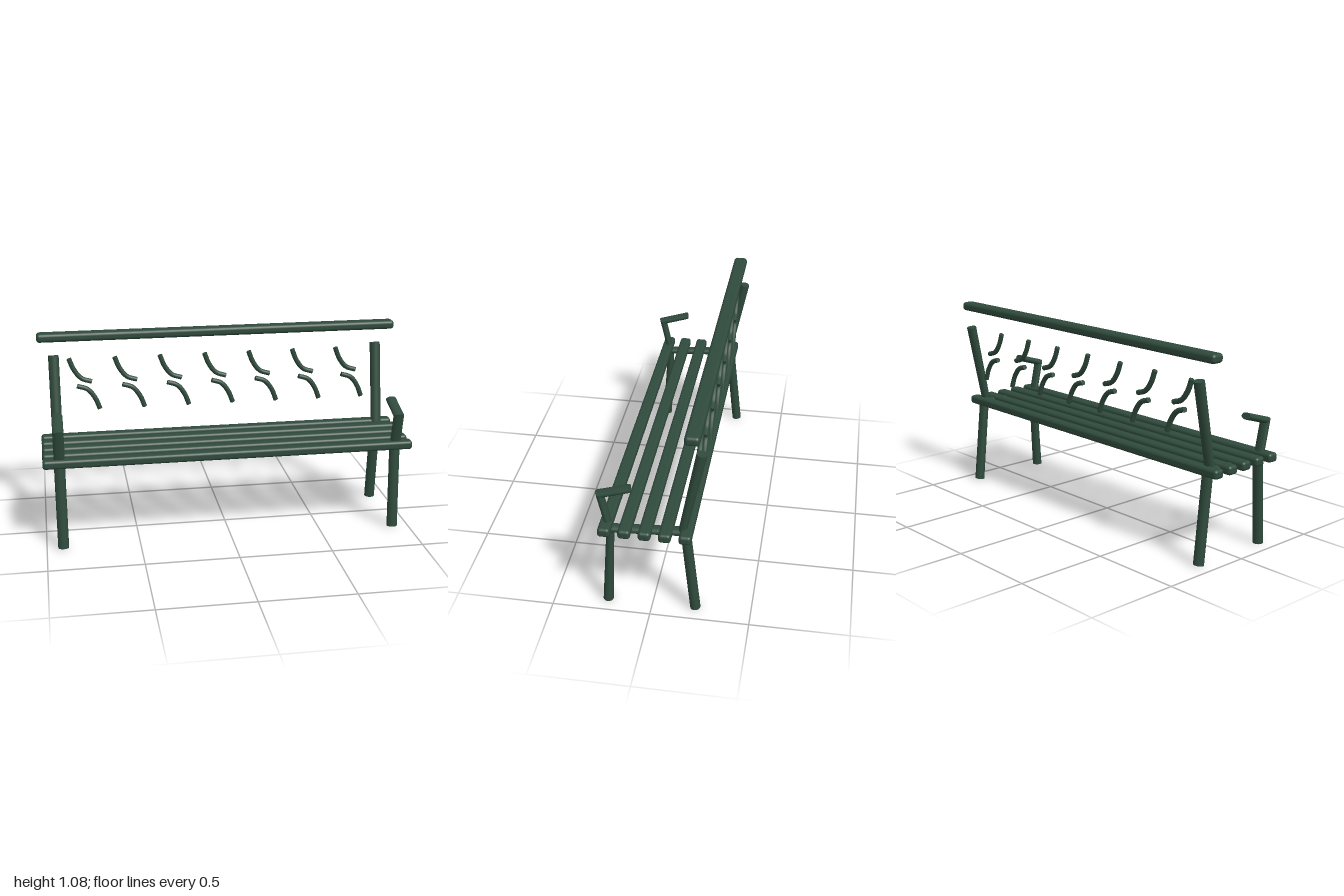
import * as THREE from 'three';
import { mergeGeometries } from 'three/addons/utils/BufferGeometryUtils.js';
import { RoundedBoxGeometry } from 'three/addons/geometries/RoundedBoxGeometry.js';

const paint = new THREE.MeshStandardMaterial({ color: 0x2f4a3c });
const SIDES = 24;
const HALF_WIDTH = 0.029; // half width of the frame bars along x

function addMesh(parent, name, geometry, x = 0, y = 0, z = 0) {
  const mesh = new THREE.Mesh(geometry, paint);
  mesh.name = name;
  mesh.position.set(x, y, z);
  parent.add(mesh);
  return mesh;
}

// Oval bar along a bent path of [z, y, radius], with mitred corners and flat ends
function bentBar(path) {
  const points = path.map(([z, y]) => new THREE.Vector2(z, y));
  const normals = points.slice(1).map((p, i) => {
    const t = p.clone().sub(points[i]).normalize();
    return new THREE.Vector2(-t.y, t.x);
  });
  const rings = points.map((p, i) => {
    const a = normals[Math.max(i - 1, 0)];
    const b = normals[Math.min(i, normals.length - 1)];
    const miter = a.clone().add(b).normalize();
    miter.multiplyScalar(path[i][2] / miter.dot(a));
    return Array.from({ length: SIDES }, (_, k) => {
      const angle = (k / SIDES) * Math.PI * 2;
      const s = Math.sin(angle);
      return [HALF_WIDTH * Math.cos(angle), p.y + miter.y * s, p.x + miter.x * s];
    });
  });

  const build = (vertices, index) => {
    const g = new THREE.BufferGeometry();
    g.setAttribute('position', new THREE.Float32BufferAttribute(vertices.flat(), 3));
    g.setIndex(index);
    g.computeVertexNormals();
    return g;
  };
  const pieces = [];
  for (let j = 0; j < rings.length - 1; j++) {
    const index = [];
    for (let k = 0; k < SIDES; k++) {
      const n = (k + 1) % SIDES;
      index.push(k, n, SIDES + n, k, SIDES + n, SIDES + k);
    }
    pieces.push(build([...rings[j], ...rings[j + 1]], index));
  }
  // End caps
  const start = [], end = [];
  for (let k = 1; k < SIDES - 1; k++) {
    start.push(0, k + 1, k);
    end.push(0, k, k + 1);
  }
  pieces.push(build(rings[0], start), build(rings[rings.length - 1], end));
  return mergeGeometries(pieces);
}

// Round rod along a curve, closed with a disc at each end
function cappedRod(curve, radius) {
  const pieces = [new THREE.TubeGeometry(curve, 16, radius, 12)];
  for (const [u, sign] of [[0, -1], [1, 1]]) {
    const direction = curve.getTangentAt(u).multiplyScalar(sign);
    const cap = new THREE.CircleGeometry(radius, 12);
    cap.applyQuaternion(new THREE.Quaternion().setFromUnitVectors(new THREE.Vector3(0, 0, 1), direction));
    const p = curve.getPointAt(u);
    pieces.push(cap.translate(p.x, p.y, p.z));
  }
  return mergeGeometries(pieces);
}

export function createModel() {
  const bench = new THREE.Group();
  bench.name = 'bench';

  // Seat slats and top rail
  const slat = new RoundedBoxGeometry(2, 0.048, 0.062, 4, 0.016);
  for (let i = 0; i < 5; i++) addMesh(bench, 'seatSlat', slat, 0, 0.481, 0.224 - i * 0.1);
  addMesh(bench, 'topRail', new RoundedBoxGeometry(2, 0.048, 0.074, 4, 0.018), 0, 1.053, -0.207);

  // Side frames
  const bars = {
    frontLegSeatBearerAndBackPost: bentBar([
      [0.229, 0.002, 0.026], [0.205, 0.455, 0.019], [-0.152, 0.477, 0.02], [-0.244, 0.939, 0.026],
    ]),
    armrest: bentBar([[0.208, 0.46, 0.018], [0.252, 0.657, 0.018], [0.103, 0.704, 0.018]]),
    backLeg: bentBar([[-0.169, 0.47, 0.025], [-0.219, 0.003, 0.026]]),
  };
  for (const [label, side] of [['left', 1], ['right', -1]]) {
    const frame = new THREE.Group();
    frame.name = label + 'Frame';
    frame.position.x = side * 0.912;
    for (const [name, geometry] of Object.entries(bars)) addMesh(frame, name, geometry);
    bench.add(frame);
  }

  // Back ornaments: two curved rods, the lower a half turn of the upper
  const arc = new THREE.CatmullRomCurve3([
    [-0.08, 0.146], [-0.055, 0.083], [-0.015, 0.032], [0.04, 0.012],
  ].map(([x, y]) => new THREE.Vector3(x, y, 0)));
  const rod = cappedRod(arc, 0.0135);
  for (let i = 0; i < 7; i++) {
    const ornament = new THREE.Group();
    ornament.name = 'backOrnament';
    ornament.position.set(-0.75 + i * 0.25, 0.781, -0.207);
    addMesh(ornament, 'upperCurl', rod);
    addMesh(ornament, 'lowerCurl', rod).rotation.z = Math.PI;
    bench.add(ornament);
  }
  return bench;
}
